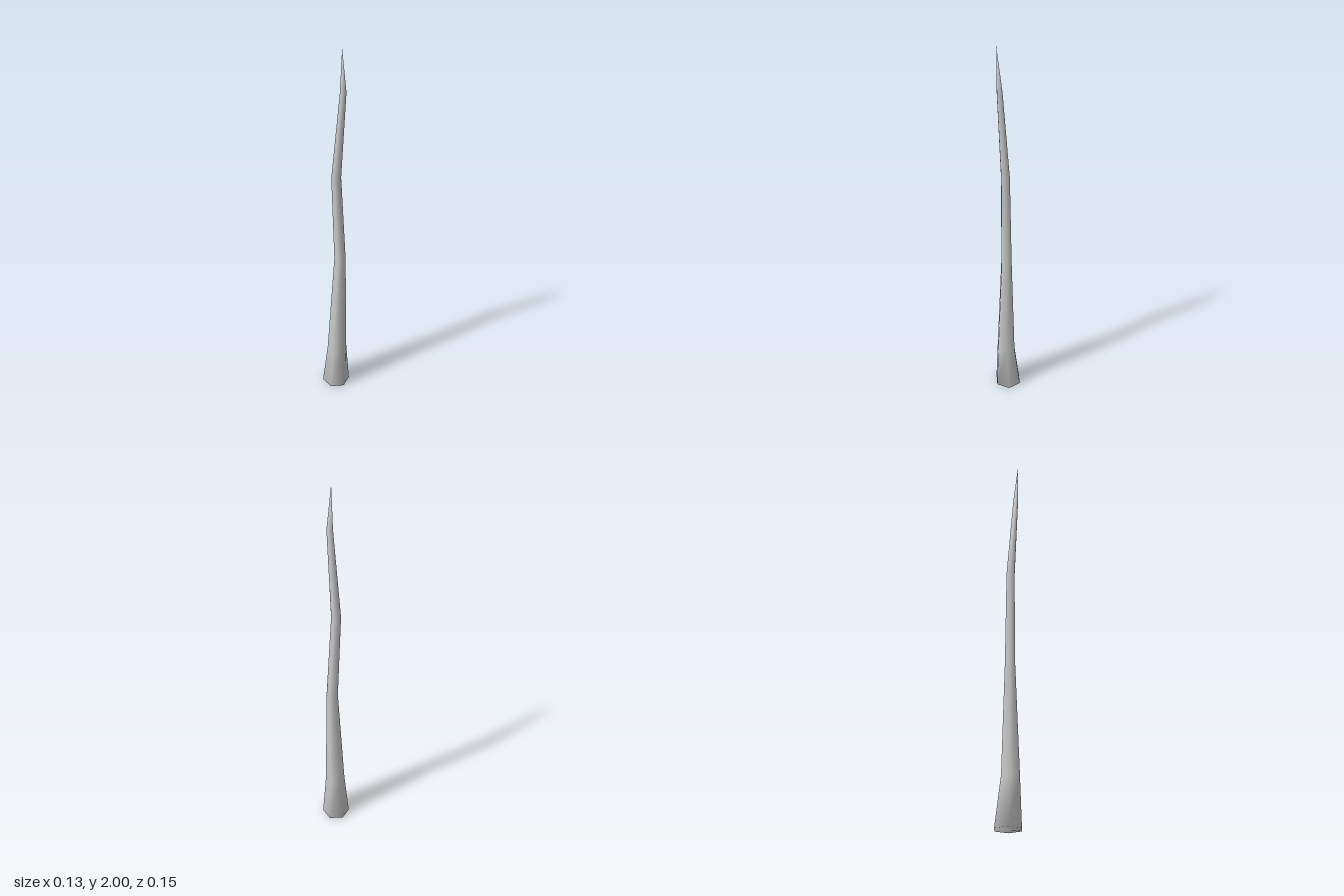
import * as THREE from 'three';

const SIDES = 6;

// Cross-sections from the base up: [centre x, y, centre z, radius]
const RINGS = [
  [0, 0, 0, 0.073],
  [-0.002, 0.25, 0.012, 0.051],
  [0.012, 0.84, 0.018, 0.029],
  [-0.007, 1.32, 0.011, 0.024],
  [0.004, 1.78, 0.049, 0.015],
];
const TIP = [-0.009, 2, 0.057];

// Crooked hexagonal spike, closed at the base and pointed at the top
function spikeGeometry() {
  const positions = [];
  const index = [];
  for (const [x, y, z, r] of RINGS) {
    for (let j = 0; j < SIDES; j++) {
      const a = (j / SIDES) * Math.PI * 2;
      positions.push(x + r * Math.sin(a), y, z + r * Math.cos(a));
    }
  }
  positions.push(...TIP);
  const tip = RINGS.length * SIDES;

  for (let i = 0; i < RINGS.length; i++) {
    for (let j = 0; j < SIDES; j++) {
      const a = i * SIDES + j;
      const b = i * SIDES + ((j + 1) % SIDES);
      if (i === RINGS.length - 1) index.push(a, b, tip);
      else index.push(a, b, b + SIDES, a, b + SIDES, a + SIDES);
    }
  }
  // Base cap shares its corners with the sides, so the shading rolls under
  for (let j = 1; j < SIDES - 1; j++) index.push(0, j + 1, j);

  const geometry = new THREE.BufferGeometry();
  geometry.setAttribute('position', new THREE.Float32BufferAttribute(positions, 3));
  geometry.setIndex(index);
  geometry.computeVertexNormals();
  return geometry;
}

export function createModel() {
  const group = new THREE.Group();
  const spike = new THREE.Mesh(
    spikeGeometry(),
    new THREE.MeshStandardMaterial({ color: 0xcccccc })
  );
  spike.name = 'crookedSpike';
  group.add(spike);
  return group;
}
